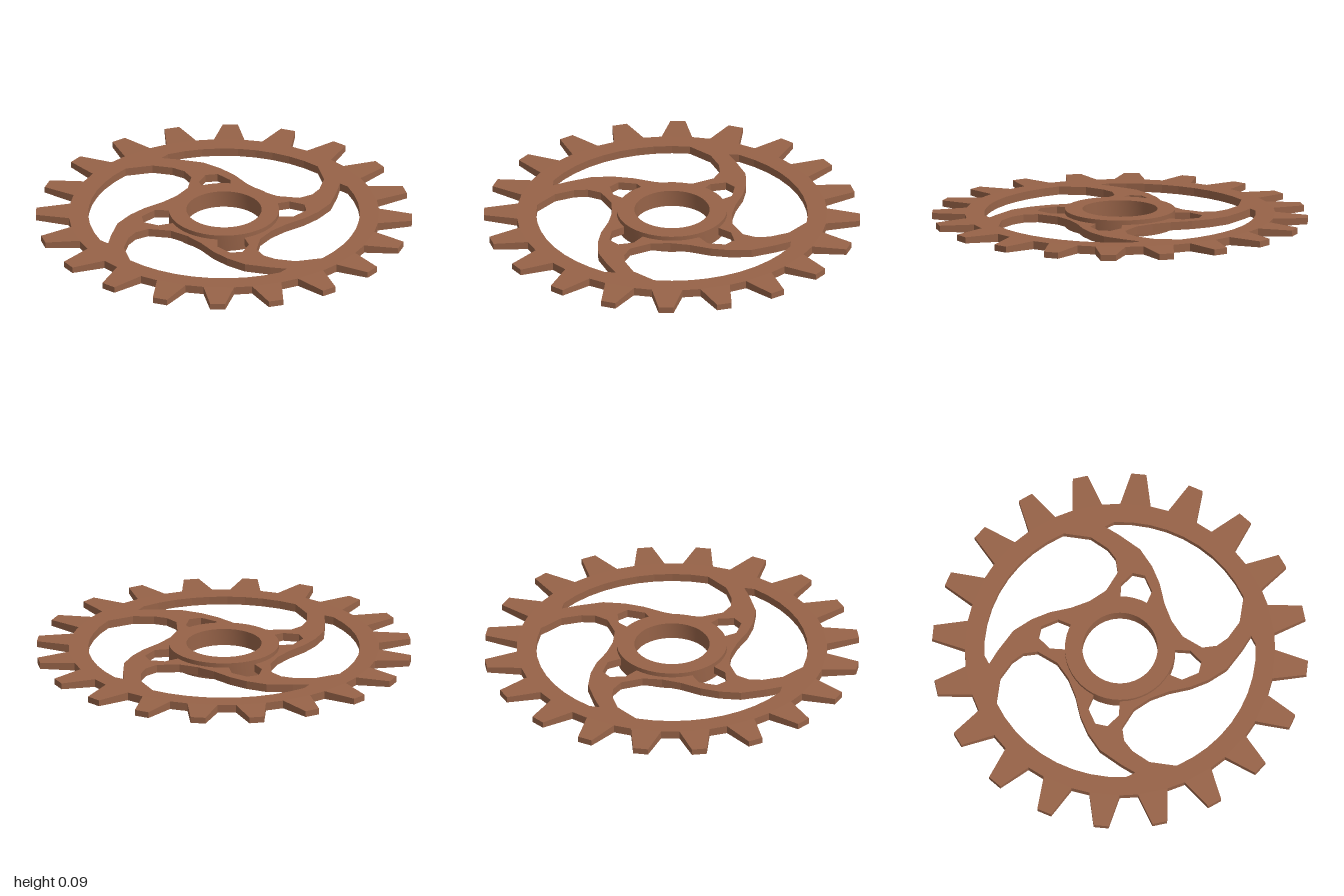
import * as THREE from 'three';
import { toCreasedNormals } from 'three/addons/utils/BufferGeometryUtils.js';

const TEETH = 20;
const DEG = Math.PI / 180;
const MID = 0.046; // height of the wheel's middle plane
const DEPTH = 0.044;

// Point at radius r, angle in degrees clockwise from the back
const polar = (r, deg) => new THREE.Vector2(r * Math.sin(deg * DEG), r * Math.cos(deg * DEG));

// Quarter turns of a list of points, clockwise
const turn = (points, k) =>
  points.map((p) => p.clone().rotateAround(new THREE.Vector2(), -k * Math.PI / 2));

const toPoints = (pairs) => pairs.map(([x, y]) => new THREE.Vector2(x, y));

// Flat slab lying level around the middle plane
const slab = (shape) =>
  new THREE.ExtrudeGeometry(shape, { depth: DEPTH, bevelEnabled: false, curveSegments: 32 })
    .rotateX(-Math.PI / 2).translate(0, MID - DEPTH / 2, 0);

function createModel() {
  const model = new THREE.Group();
  model.name = 'gearWheel';
  const bronze = new THREE.MeshStandardMaterial({ color: 0x976348 });
  bronze.name = 'bronze brown';

  // Rim outline through the tooth roots, counter-clockwise
  const outline = [];
  for (let i = TEETH - 1; i >= 0; i--) {
    const a = 4.3 + i * 360 / TEETH;
    outline.push(polar(0.825, a + 5.65), polar(0.825, a - 5.65));
  }
  const plate = new THREE.Shape(outline);

  // Window between two curved arms: rim arc, then the arm edge back to the tip
  const windowPoints = [];
  for (let i = 0; i <= 9; i++) windowPoints.push(polar(0.722, -40 + i * 68 / 9));
  windowPoints.push(...toPoints([
    [0.41, 0.51], [0.415, 0.4], [0.395, 0.33], [0.34, 0.275], [0.22, 0.262], [0.12, 0.295],
    [0.03, 0.35], [-0.06, 0.425], [-0.15, 0.477], [-0.26, 0.515], [-0.4, 0.512], [-0.487, 0.503],
  ]));

  // Small opening at the root of each arm, running in to the hub
  const rootPoints = toPoints([
    [-0.21, 0.385], [-0.15, 0.412], [-0.065, 0.365], [-0.042, 0.275],
    [-0.11, 0.255], [-0.17, 0.222], [-0.222, 0.3],
  ]);

  for (let k = 0; k < 4; k++) {
    plate.holes.push(new THREE.Path(turn(windowPoints, k)));
    plate.holes.push(new THREE.Path(turn(rootPoints, k)));
  }
  // Bore of the plate, hidden inside the hub
  plate.holes.push(new THREE.Path().absarc(0, 0, 0.22, 0, Math.PI * 2));

  const wheel = new THREE.Mesh(slab(plate), bronze);
  wheel.name = 'rimAndArms';
  model.add(wheel);

  // Teeth, thinner towards the tip
  const toothGeometry = slab(new THREE.Shape([
    polar(0.825, 5.65), polar(1.0, 2.3), polar(1.0, -2.3), polar(0.825, -5.65),
  ]));
  const position = toothGeometry.attributes.position;
  for (let i = 0; i < position.count; i++) {
    if (position.getZ(i) < -0.9) position.setY(i, MID + (position.getY(i) - MID) * 0.75);
  }
  toothGeometry.computeVertexNormals();
  for (let i = 0; i < TEETH; i++) {
    const tooth = new THREE.Mesh(toothGeometry, bronze);
    tooth.name = 'tooth';
    tooth.rotation.y = -(4.3 + i * 360 / TEETH) * DEG;
    model.add(tooth);
  }

  // Raised hub ring around the axle hole
  const profile = toPoints([[0.2, 0], [0.293, 0], [0.293, 0.092], [0.2, 0.092], [0.2, 0]]);
  const hub = new THREE.Mesh(toCreasedNormals(new THREE.LatheGeometry(profile, 48), 0.6), bronze);
  hub.name = 'hub';
  model.add(hub);

  return model;
}

export { createModel };
